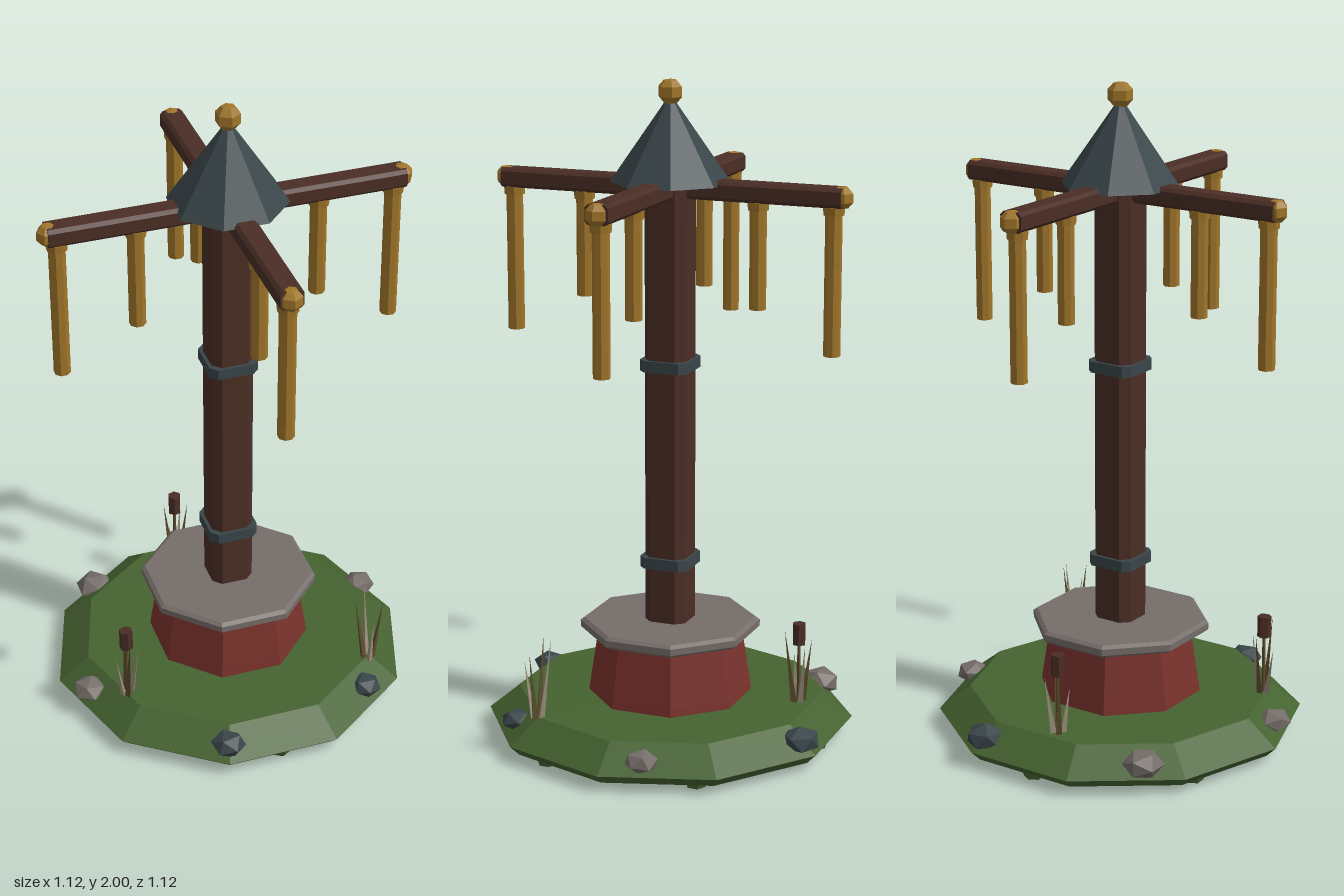
import * as THREE from 'three';

const mat = (name, color) => {
  const m = new THREE.MeshStandardMaterial({ color, flatShading: true });
  m.name = name;
  return m;
};

export function createModel() {
  const M = {
    grass: mat('grass green', 0x456230),
    wood: mat('dark wood', 0x4a2e25),
    brick: mat('red brick', 0x7a322c),
    stone: mat('grey stone', 0x756d69),
    slate: mat('slate', 0x3a464a),
    gold: mat('brass', 0xa0762a),
    pale: mat('pale reed', 0x9a8e7a),
    olive: mat('olive reed', 0x5c4c2c),
  };
  const root = new THREE.Group();

  const add = (parent, name, geo, material, x = 0, y = 0, z = 0) => {
    const mesh = new THREE.Mesh(geo, material);
    mesh.name = name;
    mesh.position.set(x, y, z);
    parent.add(mesh);
    return mesh;
  };

  // Faceted solid from a [radius, height] profile, bottom to top
  const turned = (profile, sides, turn = 0) =>
    new THREE.LatheGeometry(profile.map(([r, y]) => new THREE.Vector2(r, y)), sides).rotateY(turn);

  // Bar along z with chamfered long edges, centred on the origin
  const bar = (w, h, length, c) => {
    const a = w / 2, b = h / 2;
    const s = new THREE.Shape([
      [a - c, -b], [a, -b + c], [a, b - c], [a - c, b],
      [c - a, b], [-a, b - c], [-a, c - b], [c - a, -b],
    ].map(([x, y]) => new THREE.Vector2(x, y)));
    return new THREE.ExtrudeGeometry(s, { depth: length, bevelEnabled: false }).translate(0, 0, -length / 2);
  };
  const post = (w, height, c) => bar(w, w, height, c).rotateX(Math.PI / 2);

  // Ground mound with small clods beneath
  add(root, 'groundMound', turned(
    [[0, 0.02], [0.53, 0.02], [0.56, 0.05], [0.465, 0.125], [0, 0.125]], 10, Math.PI / 2), M.grass);
  for (let i = 0; i < 6; i++) {
    const a = 0.5 + (i * Math.PI) / 3;
    add(root, 'groundClod', new THREE.CylinderGeometry(0.04, 0.03, 0.03, 6), M.grass,
      0.47 * Math.cos(a), 0.015, 0.47 * Math.sin(a));
  }

  // Octagonal plinth and its cap slab
  const eighth = Math.PI / 8;
  add(root, 'brickPlinth', turned(
    [[0, 0.12], [0.25, 0.12], [0.246, 0.15], [0.222, 0.305], [0.208, 0.33], [0, 0.33]], 8, eighth), M.brick);
  add(root, 'plinthSlab', turned(
    [[0, 0.32], [0.262, 0.32], [0.274, 0.329], [0.274, 0.349], [0.262, 0.358], [0, 0.358]], 8, eighth), M.stone);

  // Post with two bands
  add(root, 'post', post(0.13, 1.35, 0.025), M.wood, 0, 1.03, 0);
  for (const y of [0.545, 1.155]) add(root, 'postBand', post(0.15, 0.034, 0.02), M.slate, 0, y, 0);

  // Roof and finial
  add(root, 'roof', turned([[0, 1.7], [0.177, 1.7], [0.008, 1.945], [0, 1.945]], 8, eighth), M.slate);
  const knob = (r) => turned(
    [[0, -r], [r * 0.55, -r * 0.9], [r, -r * 0.4], [r, r * 0.4], [r * 0.55, r * 0.9], [0, r]], 6);
  add(root, 'finial', knob(0.037), M.gold, 0, 1.963, 0);

  // Crossed beams
  const beamY = 1.685;
  for (const turn of [0, Math.PI / 2]) {
    add(root, 'crossBeam', bar(0.07, 0.058, 1.07, 0.01), M.wood, 0, beamY, 0).rotation.y = turn;
  }

  // Each beam end carries a knob, a long chime and a short chime
  for (let i = 0; i < 4; i++) {
    const arm = new THREE.Group();
    arm.name = 'beamEnd';
    arm.rotation.y = (i * Math.PI) / 2;
    root.add(arm);
    add(arm, 'endKnob', knob(0.033), M.gold, 0, beamY, 0.529);
    for (const [z, bottom] of [[0.505, 1.22], [0.275, 1.34]]) {
      const len = 1.655 - bottom;
      add(arm, 'chime', new THREE.CylinderGeometry(0.025, 0.025, len, 8).rotateY(eighth), M.gold,
        0, bottom + len / 2, z);
      add(arm, 'chimeCollar', new THREE.CylinderGeometry(0.032, 0.03, 0.025, 8).rotateY(eighth), M.gold,
        0, 1.645, z);
    }
  }

  // Rocks around the rim: x, z, radius, material
  [
    [-0.335, -0.375, 0.063, M.stone], [0.49, -0.11, 0.052, M.stone], [-0.49, 0.105, 0.054, M.stone],
    [0.16, -0.48, 0.062, M.slate], [0.33, 0.365, 0.05, M.slate], [-0.16, 0.48, 0.055, M.slate],
  ].forEach(([x, z, r, m], i) => {
    const rock = add(root, 'rock', new THREE.IcosahedronGeometry(r, 0).rotateX(i * 0.7).rotateY(i * 1.3),
      m, x, 0.088, z);
    rock.scale.y = 0.68;
  });

  // Reed clumps: x, z, whether there is a cattail
  [[-0.395, 0.2, true], [-0.05, -0.4, true], [0.37, 0.28, false]].forEach(([x, z, cattail], i) => {
    const clump = new THREE.Group();
    clump.name = 'reedClump';
    clump.position.set(x, 0.12, z);
    clump.rotation.y = i * 0.8;
    root.add(clump);
    const heights = cattail ? [0.19, 0.24, 0.15, 0.2] : [0.26, 0.22, 0.18, 0.25];
    heights.forEach((h, k) => {
      const blade = add(clump, 'reedBlade', new THREE.ConeGeometry(0.011, h, 3).translate(0, h / 2, 0),
        k % 2 ? M.olive : M.pale, 0.014 * Math.cos(k * 1.6), 0, 0.014 * Math.sin(k * 1.6));
      blade.rotation.set(0.14 * Math.sin(k * 1.6), 0, -0.14 * Math.cos(k * 1.6));
    });
    if (cattail) {
      add(clump, 'cattailStem', new THREE.CylinderGeometry(0.005, 0.006, 0.25, 5), M.olive, 0, 0.125, 0);
      add(clump, 'cattailHead', new THREE.CylinderGeometry(0.021, 0.021, 0.066, 6), M.wood, 0, 0.22, 0);
    }
  });

  return root;
}
